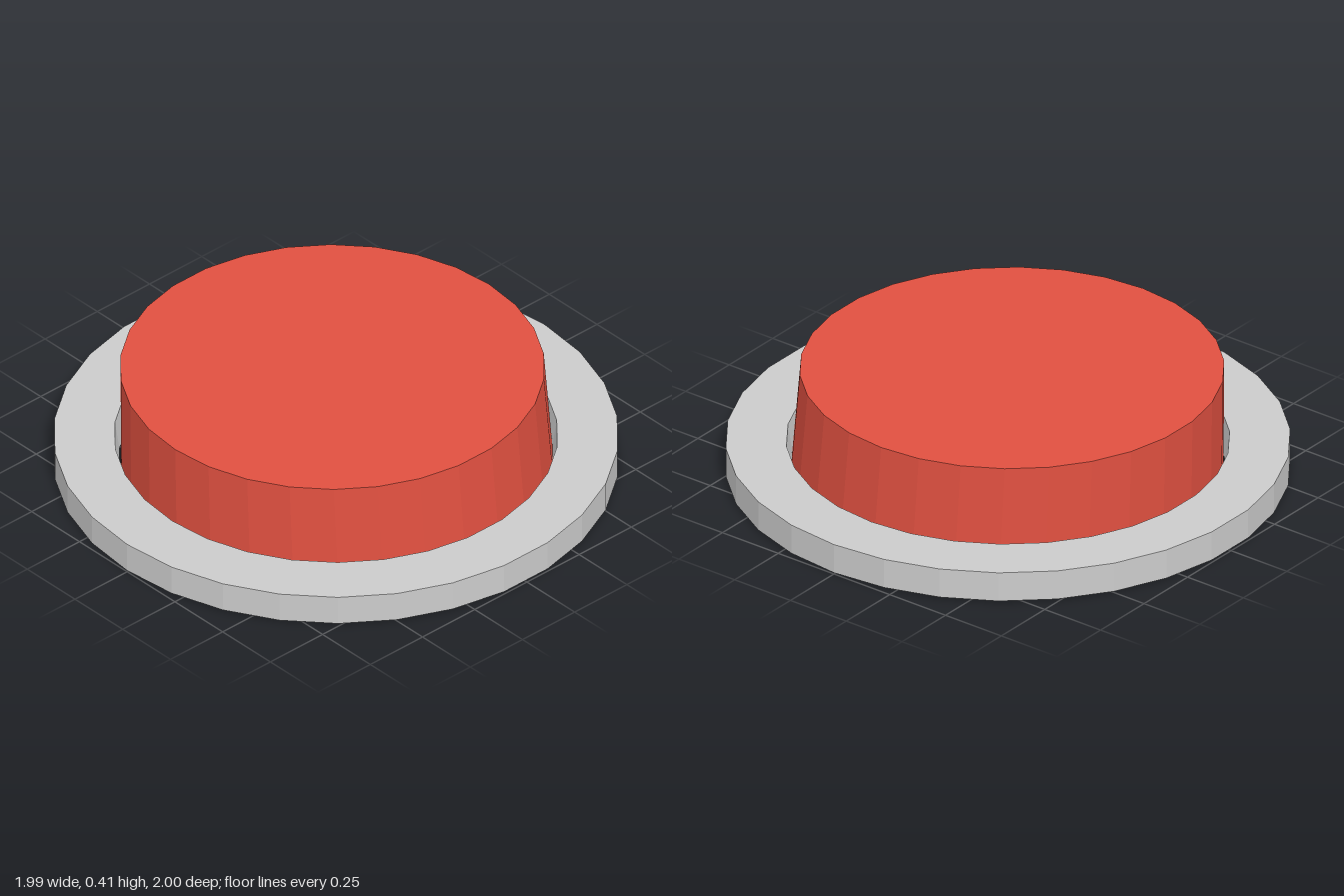
import * as THREE from 'three';

const SIDES = 30;

function material(color) {
  return new THREE.MeshStandardMaterial({ color, flatShading: true, side: THREE.DoubleSide });
}

function addMesh(group, name, geometry, mat, y) {
  const mesh = new THREE.Mesh(geometry, mat);
  mesh.name = name;
  mesh.position.y = y;
  group.add(mesh);
  return mesh;
}

export function createModel() {
  const model = new THREE.Group();
  model.name = 'pushButton';
  const grey = material(0xcccccc);
  const red = material(0xe05040);

  // Base ring: hollow underneath, with an outer skirt, a flat top and a tapered hole wall
  const ring = new THREE.Group();
  ring.name = 'baseRing';
  model.add(ring);
  const bottom = 0.005, top = 0.118, height = top - bottom, mid = (top + bottom) / 2;
  addMesh(ring, 'ringSkirt', new THREE.CylinderGeometry(1, 1, height, SIDES, 1, true), grey, mid);
  addMesh(ring, 'ringHoleWall', new THREE.CylinderGeometry(0.785, 0.769, height, SIDES, 1, true), grey, mid);
  const annulus = new THREE.RingGeometry(0.785, 1, SIDES, 1, Math.PI / 2);
  annulus.rotateX(-Math.PI / 2);
  addMesh(ring, 'ringTop', annulus, grey, top);

  // Button cap: open-bottomed, slightly tapered, leaning a touch to one side
  const cap = new THREE.Group();
  cap.name = 'buttonCap';
  model.add(cap);
  const capHeight = 0.405;
  const lean = (geometry) => {
    const p = geometry.attributes.position;
    for (let i = 0; i < p.count; i++) {
      const t = p.getY(i) / capHeight;
      p.setXYZ(i, p.getX(i) + 0.003 - 0.017 * t, p.getY(i), p.getZ(i) - 0.002 + 0.007 * t);
    }
    geometry.computeVertexNormals();
    return geometry;
  };
  const wall = new THREE.CylinderGeometry(0.752, 0.767, capHeight, SIDES, 1, true);
  wall.translate(0, capHeight / 2, 0);
  addMesh(cap, 'capWall', lean(wall), red, 0);
  const face = new THREE.CircleGeometry(0.752, SIDES, Math.PI / 2);
  face.rotateX(-Math.PI / 2);
  face.translate(0, capHeight, 0);
  addMesh(cap, 'capFace', lean(face), red, 0);

  return model;
}
